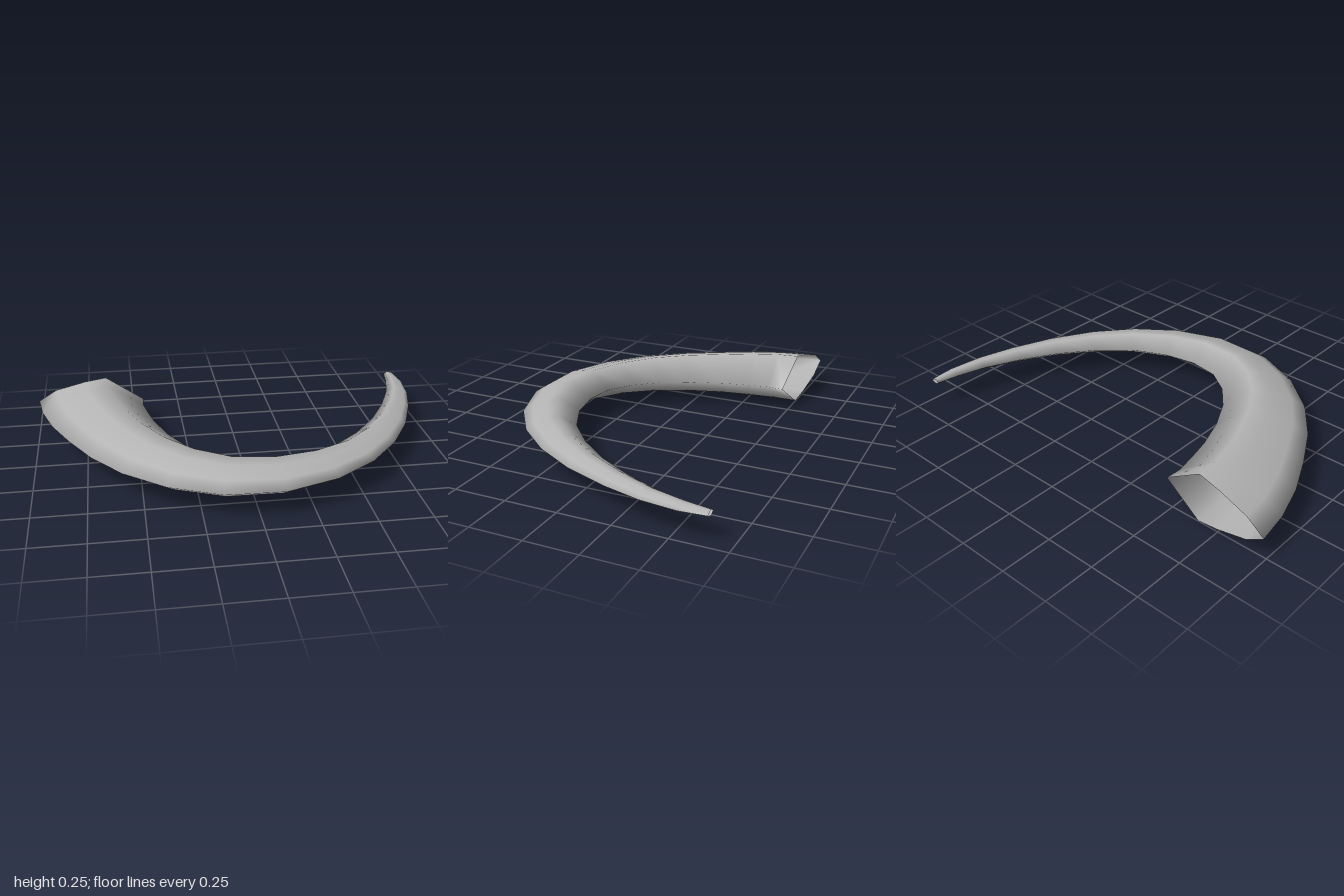
import * as THREE from 'three';

// Outer and inner edge of the curved horn, as [x, z] per ring from mouth to tip
const OUTER = [
  [-1, -0.53], [-0.975, -0.365], [-0.92, -0.185], [-0.835, 0], [-0.73, 0.195], [-0.59, 0.38],
  [-0.4, 0.54], [-0.165, 0.645], [0.11, 0.655], [0.365, 0.565], [0.565, 0.42], [0.72, 0.24],
  [0.84, 0.035], [0.925, -0.18], [0.975, -0.36], [0.995, -0.53], [0.985, -0.655],
];
const INNER = [
  [-0.45, -0.482], [-0.455, -0.4], [-0.435, -0.29], [-0.41, -0.175], [-0.355, -0.015], [-0.28, 0.13],
  [-0.185, 0.245], [-0.065, 0.325], [0.085, 0.347], [0.255, 0.315], [0.42, 0.235], [0.565, 0.105],
  [0.69, -0.05], [0.79, -0.22], [0.87, -0.4], [0.91, -0.545], [0.93, -0.655],
];

// Cross-section: [fraction from outer to inner edge, height factor]
const UPPER = [[0.17, 0.48], [0.455, 0.84], [0.65, 1]];
const SECTION = [
  [0, 0], ...UPPER, [1, 0],
  ...UPPER.map(([t, h]) => [t, -h]).reverse(),
];
const MID_Y = 0.125;

function hornGeometry() {
  const positions = [];
  const index = [];
  const n = SECTION.length;
  OUTER.forEach(([ox, oz], i) => {
    const [ix, iz] = INNER[i];
    const half = Math.min(0.125, 0.235 * Math.hypot(ix - ox, iz - oz));
    for (const [t, h] of SECTION) {
      positions.push(ox + (ix - ox) * t, MID_Y + half * h, oz + (iz - oz) * t);
    }
  });
  for (let i = 0; i < OUTER.length - 1; i++) {
    for (let j = 0; j < n; j++) {
      const a = i * n + j;
      const b = i * n + ((j + 1) % n);
      index.push(a, a + n, b, b, a + n, b + n);
    }
  }
  const geometry = new THREE.BufferGeometry();
  geometry.setAttribute('position', new THREE.Float32BufferAttribute(positions, 3));
  geometry.setIndex(index);
  geometry.computeVertexNormals();
  return geometry;
}

export function createModel() {
  const group = new THREE.Group();
  group.name = 'curvedHorn';
  const grey = new THREE.MeshStandardMaterial({ color: 0xb4b4b4, side: THREE.DoubleSide });
  grey.name = 'hornGrey';

  // Hollow tapering shell, open at the mouth and the tip
  const horn = new THREE.Mesh(hornGeometry(), grey);
  horn.name = 'hornShell';
  group.add(horn);
  return group;
}
